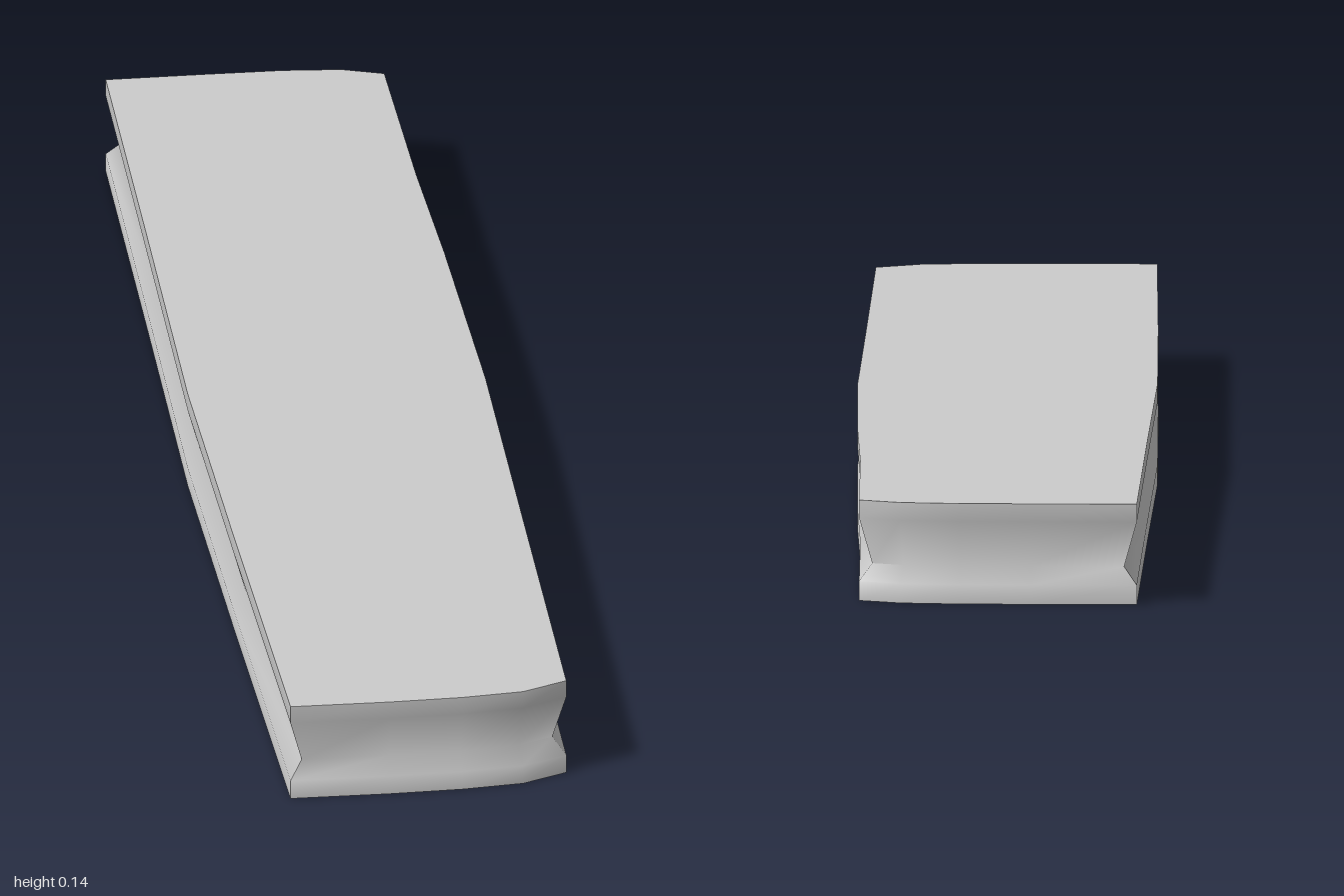
import * as THREE from 'three';
import { toCreasedNormals } from 'three/addons/utils/BufferGeometryUtils.js';

// Plan outline (x, z), counter-clockwise seen from above: bowed sides, two chamfered corners
const outline = [
  [-0.195, -1], [-0.2, -0.5], [-0.206, 0], [-0.199, 0.45], [-0.188, 0.998],
  [-0.05, 1], [0.05, 0.998], [0.135, 0.99], [0.198, 0.963],
  [0.202, 0.45], [0.206, 0], [0.199, -0.4], [0.191, -0.65], [0.187, -0.972],
  [0.13, -0.992], [0.05, -0.999], [-0.05, -1],
].map(([x, z]) => new THREE.Vector2(x, z));

// Edge profile (height, inset): a V groove runs all the way round
const profile = [[0, 0], [0.027, 0], [0.05, 0.018], [0.115, 0], [0.14, 0]];

// Move every edge of the outline inwards by d, mitring the corners
function insetOutline(d) {
  const n = outline.length;
  const normal = (a, b) => new THREE.Vector2(a.y - b.y, b.x - a.x).normalize();
  return outline.map((p, i) => {
    const n1 = normal(outline[(i + n - 1) % n], p);
    const n2 = normal(p, outline[(i + 1) % n]);
    const miter = n1.clone().add(n2).divideScalar(1 + n1.dot(n2));
    return p.clone().addScaledVector(miter, -d);
  });
}

function slabGeometry() {
  const rings = profile.map(([y, d]) =>
    insetOutline(d).map((p) => new THREE.Vector3(p.x, y, p.y)));
  const tris = [];
  const n = outline.length;
  const bottom = rings[0];
  const top = rings[rings.length - 1];
  const bottomCentre = new THREE.Vector3(0, profile[0][0], 0);
  const topCentre = new THREE.Vector3(0, profile[profile.length - 1][0], 0);
  for (let i = 0; i < n; i++) {
    const j = (i + 1) % n;
    // Grooved edge
    for (let k = 0; k < rings.length - 1; k++) {
      const lo = rings[k], hi = rings[k + 1];
      tris.push(lo[i], lo[j], hi[j], lo[i], hi[j], hi[i]);
    }
    // Flat faces
    tris.push(topCentre, top[i], top[j], bottomCentre, bottom[j], bottom[i]);
  }
  return toCreasedNormals(new THREE.BufferGeometry().setFromPoints(tris), 1.0);
}

export function createModel() {
  const group = new THREE.Group();
  group.name = 'plank';
  const slab = new THREE.Mesh(
    slabGeometry(), new THREE.MeshStandardMaterial({ color: 0xcccccc }));
  slab.name = 'groovedSlab';
  group.add(slab);
  return group;
}
